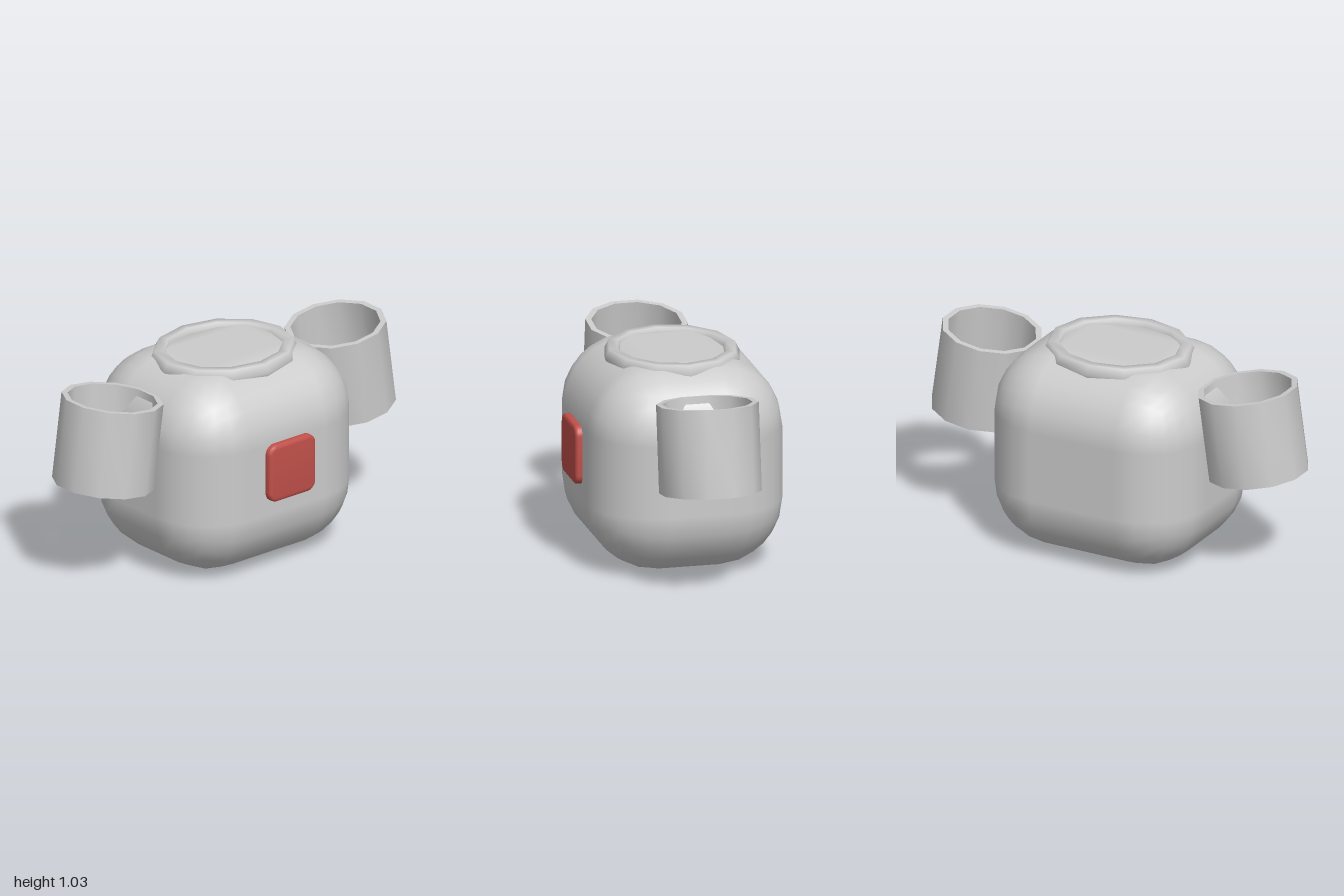
import * as THREE from 'three';
import { toCreasedNormals } from 'three/addons/utils/BufferGeometryUtils.js';
import { RoundedBoxGeometry } from 'three/addons/geometries/RoundedBoxGeometry.js';

const MID_Z = -0.016;

export function createModel() {
  const group = new THREE.Group();
  const grey = new THREE.MeshStandardMaterial({ color: 0xcccccc });
  const red = new THREE.MeshStandardMaterial({ color: 0xc0504a });

  const add = (name, geometry, material, x, y, z) => {
    const mesh = new THREE.Mesh(geometry, material);
    mesh.name = name;
    mesh.position.set(x, y, z);
    group.add(mesh);
    return mesh;
  };

  // Soft, heavily rounded torso
  add('body', new RoundedBoxGeometry(1.12, 1.02, 0.958, 3, 0.33), grey, 0, 0.51, MID_Z);

  // Oval neck ring, half sunk into the top of the body
  const ring = new THREE.TorusGeometry(0.33, 0.05, 6, 12);
  ring.rotateX(Math.PI / 2);
  ring.scale(1, 1, 0.875);
  add('neckRing', ring, grey, 0, 0.985, MID_Z);

  // Chest plate: rounded square with a small bevel
  const bevel = 0.016, h = 0.147 - bevel, r = 0.035;
  const square = new THREE.Shape();
  square.absarc(h - r, h - r, r, 0, Math.PI / 2);
  square.absarc(r - h, h - r, r, Math.PI / 2, Math.PI);
  square.absarc(r - h, r - h, r, Math.PI, Math.PI * 1.5);
  square.absarc(h - r, r - h, r, Math.PI * 1.5, Math.PI * 2);
  const plate = new THREE.ExtrudeGeometry(square, {
    depth: 0.04, bevelEnabled: true, bevelSize: bevel, bevelThickness: bevel,
    bevelSegments: 3, curveSegments: 4,
  });
  add('chestPlate', toCreasedNormals(plate, 0.7), red, 0, 0.547, 0.497 - 0.04 - bevel);

  // Open twelve-sided sleeves, leaning in toward the top
  const outer = 0.247, inner = 0.218, half = 0.2155;
  const profile = [
    [outer, -half], [outer, half], [inner, half], [inner, -half], [outer, -half],
  ].map(([x, y]) => new THREE.Vector2(x, y));
  const tube = toCreasedNormals(new THREE.LatheGeometry(profile, 12, Math.PI / 12), 0.7);
  for (const side of [1, -1]) {
    const sleeve = add(side > 0 ? 'leftSleeve' : 'rightSleeve', tube, grey, side * 0.733, 0.73, MID_Z);
    sleeve.rotation.z = side * THREE.MathUtils.degToRad(8);
  }

  return group;
}
